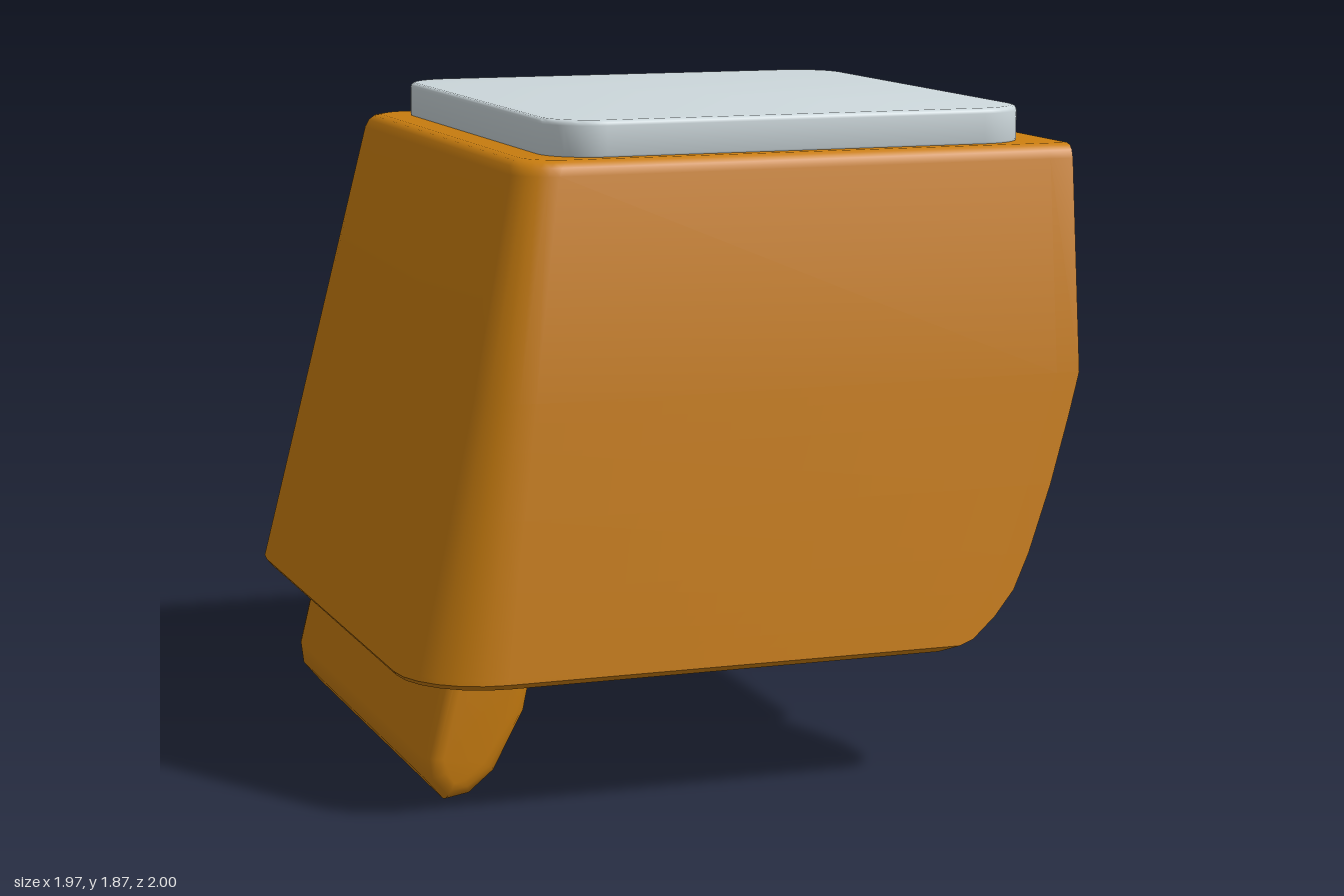
import * as THREE from 'three';
import { toCreasedNormals } from 'three/addons/utils/BufferGeometryUtils.js';
import { RoundedBoxGeometry } from 'three/addons/geometries/RoundedBoxGeometry.js';

// Levels of the shell, bottom to top: [y, front x, inner half width at the opening, outer inset]
const LEVELS = [
  [0.37, 0.53, 0.95, 0.015], [0.385, 0.59, 0.93, 0], [0.4, 0.63, 0.915, 0],
  [0.46, 0.7, 0.89, 0], [0.53, 0.76, 0.875, 0], [0.63, 0.81, 0.86, 0],
  [0.82, 0.885, 0.825, 0], [1.0, 0.945, 0.79, 0], [1.08, 0.97, 0.76, 0],
  [1.13, 0.985, 0.7, 0], [1.73, 0.985, 0.7, 0], [1.752, 0.985, 0.7, 0.005],
  [1.765, 0.985, 0.7, 0.016], [1.77, 0.985, 0.7, 0.035],
];
const CEILING = 9;

const backX = (y) => -0.99 + (y - 0.37) * 0.25;
const halfWidth = (y) => 1 - (y - 0.37) * 0.114;
const cornerRadius = (y) => 0.25 - (y - 0.37) * 0.1;

// U-shaped path from the front left edge round the back to the front right edge
function uPath(y, frontX, back, width, radius, flare = 0) {
  const half = [[frontX, width], [frontX - 0.07, width - flare]];
  const w = width - flare;
  for (let i = 0; i <= 6; i++) {
    const a = Math.PI / 2 + (i / 6) * Math.PI / 2;
    half.push([back + radius + radius * Math.cos(a), w - radius + radius * Math.sin(a)]);
  }
  const mirrored = half.map(([x, z]) => [x, -z]).reverse();
  return [...half, ...mirrored].map(([x, z]) => new THREE.Vector3(x, y, z));
}

// Adds the faces between successive rows of points
function addGrid(out, rows) {
  const tri = (a, b, c) => {
    const area = b.clone().sub(a).cross(c.clone().sub(a)).length();
    if (area > 1e-9) out.push(a, b, c);
  };
  for (let j = 0; j < rows.length - 1; j++) {
    for (let i = 0; i < rows[j].length - 1; i++) {
      const a = rows[j][i], b = rows[j][i + 1];
      const c = rows[j + 1][i], d = rows[j + 1][i + 1];
      tri(a, b, c);
      tri(b, d, c);
    }
  }
}

function shellGeometry() {
  const outer = LEVELS.map(([y, x, , inset]) =>
    uPath(y, x, backX(y) + inset, halfWidth(y) - inset, cornerRadius(y)));
  const inner = LEVELS.slice(0, CEILING + 1).map(([y, x, w]) =>
    uPath(y, x, backX(y) + 0.15 - Math.max(0, w - 0.9), w, 0.14, 0.04));
  const collapse = (row) => row.map((p) => new THREE.Vector3(row[0].x, p.y, 0));
  const out = [];

  // top, outside, bottom rim, inside and ceiling as one sheet
  const top = outer[outer.length - 1];
  addGrid(out, [collapse(top), ...outer.slice().reverse(), ...inner, collapse(inner[CEILING])]);

  // front edges of the side walls and the panel above the opening
  const front = LEVELS.map(([y, x, w], i) => {
    const z = outer[i][0].z;
    return [-z, -w, w, z].map((v) => new THREE.Vector3(x, y, v));
  }).reverse();
  addGrid(out, front.map((r) => r.slice(0, 2)));
  addGrid(out, front.map((r) => r.slice(2, 4)));
  addGrid(out, front.slice(0, LEVELS.length - CEILING).map((r) => r.slice(1, 3)));

  const geometry = new THREE.BufferGeometry().setFromPoints(out);
  return toCreasedNormals(geometry, 0.65);
}

// Rounded slab: a side profile swept across z
function slabGeometry(points, half, bevel) {
  const shape = new THREE.Shape(points.map(([x, y]) => new THREE.Vector2(x, y)));
  const geometry = new THREE.ExtrudeGeometry(shape, {
    depth: 2 * (half - bevel), bevelEnabled: true, bevelThickness: bevel,
    bevelSize: bevel, bevelSegments: 4,
  });
  geometry.translate(0, 0, -(half - bevel));
  return toCreasedNormals(geometry, 0.7);
}

// Pad with rounded corners lying flat
function padGeometry(w, d, h, r, bevel) {
  const x = w / 2 - bevel, y = d / 2 - bevel;
  const s = new THREE.Shape();
  s.moveTo(-x + r, -y);
  s.lineTo(x - r, -y);
  s.absarc(x - r, -y + r, r, -Math.PI / 2, 0);
  s.absarc(x - r, y - r, r, 0, Math.PI / 2);
  s.absarc(-x + r, y - r, r, Math.PI / 2, Math.PI);
  s.absarc(-x + r, -y + r, r, Math.PI, Math.PI * 1.5);
  const geometry = new THREE.ExtrudeGeometry(s, {
    depth: h - 2 * bevel, bevelEnabled: true, bevelThickness: bevel,
    bevelSize: bevel, bevelSegments: 3, curveSegments: 6,
  });
  geometry.rotateX(-Math.PI / 2);
  geometry.translate(0, bevel, 0);
  return toCreasedNormals(geometry, 0.6);
}

export function createModel() {
  const group = new THREE.Group();
  const orange = new THREE.MeshStandardMaterial({ color: 0xcc7f10 });
  orange.name = 'orange';
  const paleGrey = new THREE.MeshStandardMaterial({ color: 0xcdd8dc });
  paleGrey.name = 'paleGrey';

  const add = (name, geometry, material, x = 0, y = 0, z = 0) => {
    const mesh = new THREE.Mesh(geometry, material);
    mesh.name = name;
    mesh.position.set(x, y, z);
    group.add(mesh);
  };

  add('shell', shellGeometry(), orange);
  add('topPad', padGeometry(1.43, 1.555, 0.11, 0.14, 0.015), paleGrey, 0.185, 1.76, -0.007);

  // inner plate under the ceiling, with the lip that closes the gap above it
  add('innerPlate', new RoundedBoxGeometry(1.6, 0.26, 1.5, 5, 0.11), orange, 0.14, 0.93, 0);
  add('ceilingLip', new RoundedBoxGeometry(1.57, 0.2, 1.42, 4, 0.06), orange, 0.17, 1.14, 0);

  // flap hanging inside the sloping back wall
  add('backFlap', slabGeometry([
    [-0.845, 0.12], [-0.84, 0.08], [-0.815, 0.05], [-0.785, 0.055], [-0.73, 0.1],
    [-0.65, 0.25], [-0.625, 0.37], [-0.5, 0.88], [-0.65, 0.92],
  ], 0.74, 0.05), orange);

  return group;
}
